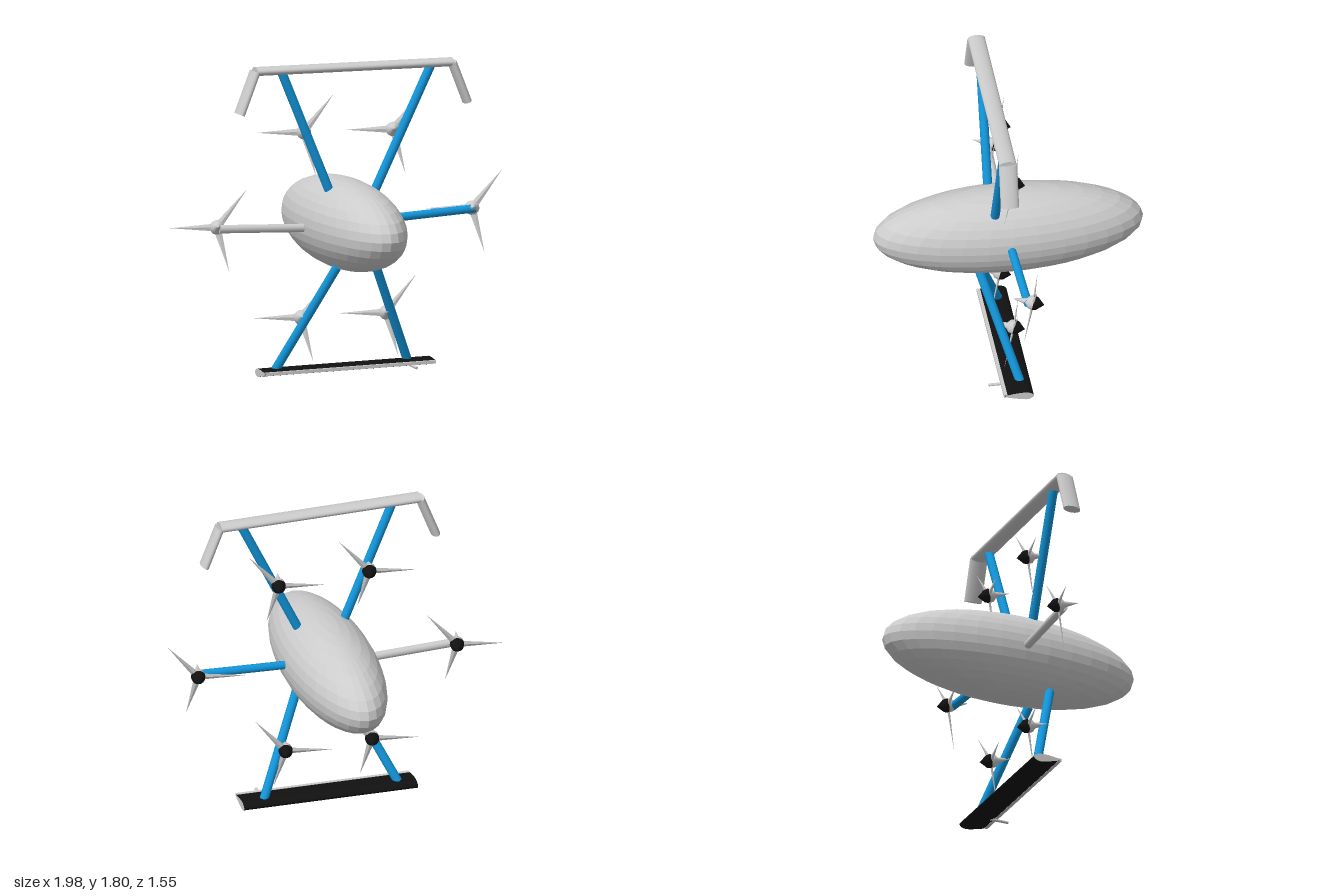
import * as THREE from 'three';

const grey = new THREE.MeshStandardMaterial({ color: 0xcccccc, side: THREE.DoubleSide });
const greyFlat = new THREE.MeshStandardMaterial({ color: 0xcccccc, flatShading: true });
const blue = new THREE.MeshStandardMaterial({ color: 0x1296db });
const black = new THREE.MeshStandardMaterial({ color: 0x111111, side: THREE.DoubleSide });

const V = (x, y, z) => new THREE.Vector3(x, y, z);

function add(parent, name, geometry, material) {
  const mesh = new THREE.Mesh(geometry, material);
  mesh.name = name;
  parent.add(mesh);
  return mesh;
}

// Rod between two points; depth stretches its section along z
function rod(parent, name, a, b, radius, material, depth = 1) {
  const d = b.clone().sub(a);
  const geo = new THREE.CylinderGeometry(radius, radius, d.length(), 20);
  geo.scale(1, 1, depth);
  const mesh = add(parent, name, geo, material);
  mesh.position.copy(a).add(b).multiplyScalar(0.5);
  mesh.quaternion.setFromUnitVectors(V(0, 1, 0), d.normalize());
  return mesh;
}

// Three-bladed propeller on a slightly tilted axis, with a pointed hub
function makeRotor() {
  const rotor = new THREE.Group();
  rotor.name = 'rotor';
  const axis = V(-0.25, 0.2, 1).normalize();
  for (const [x, y] of [[-0.26, 0], [0.18, 0.21], [0.052, -0.25]]) {
    const along = V(x, y, 0.25 * x - 0.2 * y);
    const length = along.length();
    along.normalize();
    const geo = new THREE.ConeGeometry(0.023, length, 4);
    geo.scale(1, 1, 0.35);
    geo.translate(0, length / 2, 0);
    geo.applyMatrix4(new THREE.Matrix4().makeBasis(along.clone().cross(axis), along, axis));
    add(rotor, 'blade', geo, greyFlat);
  }
  const hub = new THREE.Group();
  hub.name = 'hub';
  hub.quaternion.setFromUnitVectors(V(0, 1, 0), axis);
  const lathe = (pts) => new THREE.LatheGeometry(pts.map(([r, y]) => new THREE.Vector2(r, y)), 16);
  add(hub, 'spinner', lathe([[0.042, 0], [0.036, 0.025], [0.018, 0.04], [0.014, 0.06], [0, 0.12]]), grey);
  add(hub, 'hubBack', lathe([[0, -0.065], [0.022, -0.04], [0.036, -0.025], [0.042, 0]]), black);
  rotor.add(hub);
  return rotor;
}

export function createModel() {
  const model = new THREE.Group();
  model.name = 'aircraft';

  // Long faceted hull
  const hull = add(model, 'hull', new THREE.SphereGeometry(1, 32, 16), greyFlat);
  hull.scale.set(0.257, 0.257, 0.775);
  hull.position.set(0.035, 0.865, 0);

  // Upper struts carrying the top wing
  rod(model, 'upperStrut', V(-0.09, 1.065, 0.097), V(-0.38, 1.77, 0.097), 0.026, blue);
  rod(model, 'upperStrut', V(0.185, 1.065, 0.097), V(0.52, 1.76, 0.097), 0.026, blue);

  // Top wing with down-turned tips
  const wingLeft = V(0.65, 1.772, 0.094), wingRight = V(-0.54, 1.782, 0.094);
  rod(model, 'topWing', wingRight, wingLeft, 0.025, grey, 2);
  rod(model, 'wingTip', wingRight, V(-0.635, 1.54, 0.097), 0.025, grey, 2.1);
  rod(model, 'wingTip', wingLeft, V(0.74, 1.54, 0.097), 0.025, grey, 2.1);

  // Side arms
  rod(model, 'sideArm', V(-0.215, 0.852, 0.01), V(-0.725, 0.872, 0.005), 0.024, grey);
  rod(model, 'sideArm', V(0.28, 0.878, 0.015), V(0.82, 0.905, 0.005), 0.024, blue);

  // Raked lower struts
  rod(model, 'lowerStrut', V(-0.085, 0.65, 0.205), V(-0.38, 0.045, -0.005), 0.026, blue);
  rod(model, 'lowerStrut', V(0.155, 0.65, 0.18), V(0.42, 0.05, -0.01), 0.026, blue);

  // Bottom wing: airfoil section swept along x
  const foil = new THREE.Shape();
  foil.moveTo(-0.095, 0.012);
  foil.quadraticCurveTo(-0.03, 0.026, 0.025, 0.024);
  foil.quadraticCurveTo(0.065, 0.018, 0.07, -0.002);
  foil.quadraticCurveTo(0.06, -0.024, 0.025, -0.024);
  foil.quadraticCurveTo(-0.03, -0.016, -0.095, 0.004);
  const wingGeo = new THREE.ExtrudeGeometry(foil, { depth: 1.035, bevelEnabled: false, curveSegments: 8 });
  wingGeo.translate(0, 0, -0.5175);
  wingGeo.rotateY(Math.PI / 2);
  const bottom = new THREE.Group();
  bottom.name = 'bottomWing';
  bottom.position.set(0.037, 0.036, 0);
  bottom.rotation.z = 0.015;
  add(bottom, 'bottomWingSkin', wingGeo, [grey, black]);
  add(bottom, 'edgeStrip', new THREE.BoxGeometry(1.03, 0.018, 0.02), grey).position.set(0, 0.008, 0.092);
  model.add(bottom);
  rod(model, 'probe', V(0.41, 0.037, 0.06), V(0.41, 0.035, 0.168), 0.008, grey);

  // Six rotors
  const hubs = [
    [-0.215, 1.403, 0.01], [0.325, 1.39, 0.01],
    [-0.725, 0.877, -0.03], [0.815, 0.905, -0.025],
    [-0.23, 0.337, 0.005], [0.285, 0.337, 0.005],
  ];
  for (const p of hubs) {
    const rotor = makeRotor();
    rotor.position.set(...p);
    model.add(rotor);
  }
  return model;
}
